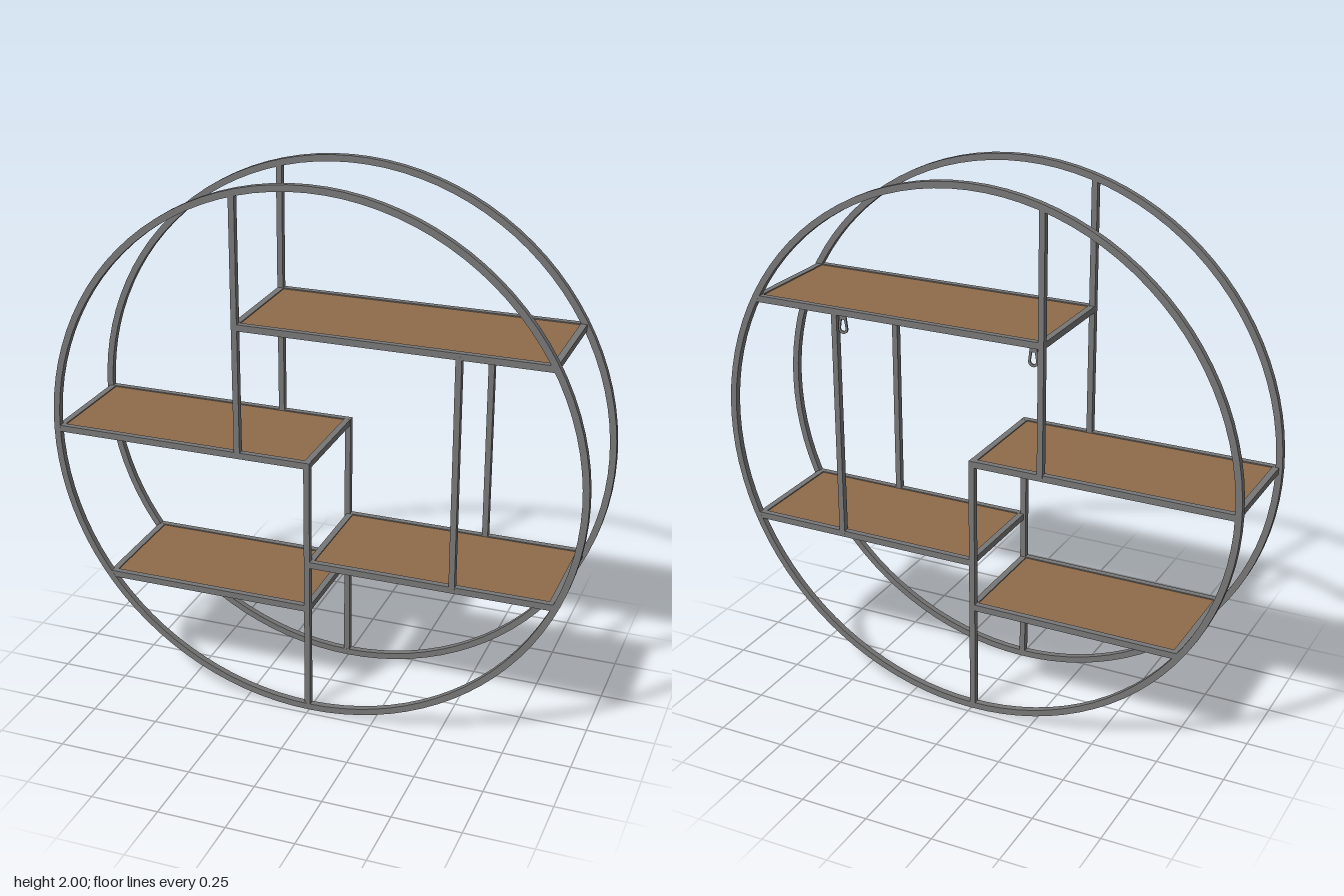
import * as THREE from 'three';

const T = 0.024;      // square bar thickness
const Z = 0.213;      // distance of each frame from the middle
const R = 1;          // outer ring radius

export function createModel() {
  const model = new THREE.Group();
  model.name = 'roundShelf';
  const metal = new THREE.MeshStandardMaterial({ color: 0x767676 });
  metal.name = 'grey metal';
  const wood = new THREE.MeshStandardMaterial({ color: 0x8f6b4a });
  wood.name = 'brown wood';

  const add = (name, geometry, material, x, y, z) => {
    const mesh = new THREE.Mesh(geometry, material);
    mesh.name = name;
    mesh.position.set(x, y, z);
    model.add(mesh);
    return mesh;
  };
  const box = (name, material, w, h, d, x, y, z) =>
    add(name, new THREE.BoxGeometry(w, h, d), material, x, y, z);

  // Ring with a square section, smooth around and sharp at its corners
  const corners = [[R - T, -T / 2], [R, -T / 2], [R, T / 2], [R - T, T / 2]];
  const ring = (z) => {
    corners.forEach((a, i) => {
      const b = corners[(i + 1) % 4];
      const side = new THREE.LatheGeometry(
        [new THREE.Vector2(...a), new THREE.Vector2(...b)], 96);
      side.rotateX(Math.PI / 2);
      add('ringSide', side, metal, 0, 1, z);
    });
  };

  // Shelves: left end, right end, height
  const shelves = [
    [-0.28, 0.868, 1.475],
    [-0.988, 0.004, 0.993],
    [-0.008, 0.904, 0.605],
    [-0.803, 0.004, 0.425],
  ];
  // Uprights: x, bottom, top
  const uprights = [
    [-0.27, 0.99, 1.952],
    [0.535, 0.605, 1.475],
    [-0.006, 0.012, 1.004],
  ];

  // Front and back frames
  for (const z of [Z, -Z]) {
    ring(z);
    for (const [x, y0, y1] of uprights)
      box('upright', metal, T * 0.9, y1 - y0, T * 0.98, x, (y0 + y1) / 2, z);
    for (const [x0, x1, y] of shelves)
      box('shelfRail', metal, x1 - x0, T, T * 0.96, (x0 + x1) / 2, y, z);
  }

  // Cross bars and wooden boards, set slightly below the rail tops
  const depth = 2 * Z - T * 0.9;
  for (const [x0, x1, y] of shelves) {
    for (const x of [x0 + T / 2, x1 - T / 2])
      box('crossBar', metal, T * 0.98, T * 0.98, depth, x, y, 0);
    box('shelfBoard', wood, x1 - x0 - 2 * T, 0.016, depth, (x0 + x1) / 2, y, 0);
  }

  // Keyhole hangers under the top back rail
  const plate = new THREE.Shape();
  plate.moveTo(-0.013, 0.036);
  plate.lineTo(-0.019, -0.016);
  plate.absarc(0, -0.016, 0.019, Math.PI, Math.PI * 2, false);
  plate.lineTo(0.013, 0.036);
  plate.closePath();
  const hole = new THREE.Path();
  hole.moveTo(-0.006, 0.018);
  hole.lineTo(-0.011, -0.014);
  hole.absarc(0, -0.014, 0.011, Math.PI, Math.PI * 2, false);
  hole.lineTo(0.006, 0.018);
  hole.closePath();
  plate.holes.push(hole);
  const hangerGeometry = new THREE.ExtrudeGeometry(plate,
    { depth: 0.006, bevelEnabled: false, curveSegments: 12 });
  for (const x of [-0.24, 0.502])
    add('wallHanger', hangerGeometry, metal, x, 1.43, -Z - 0.006);

  return model;
}
